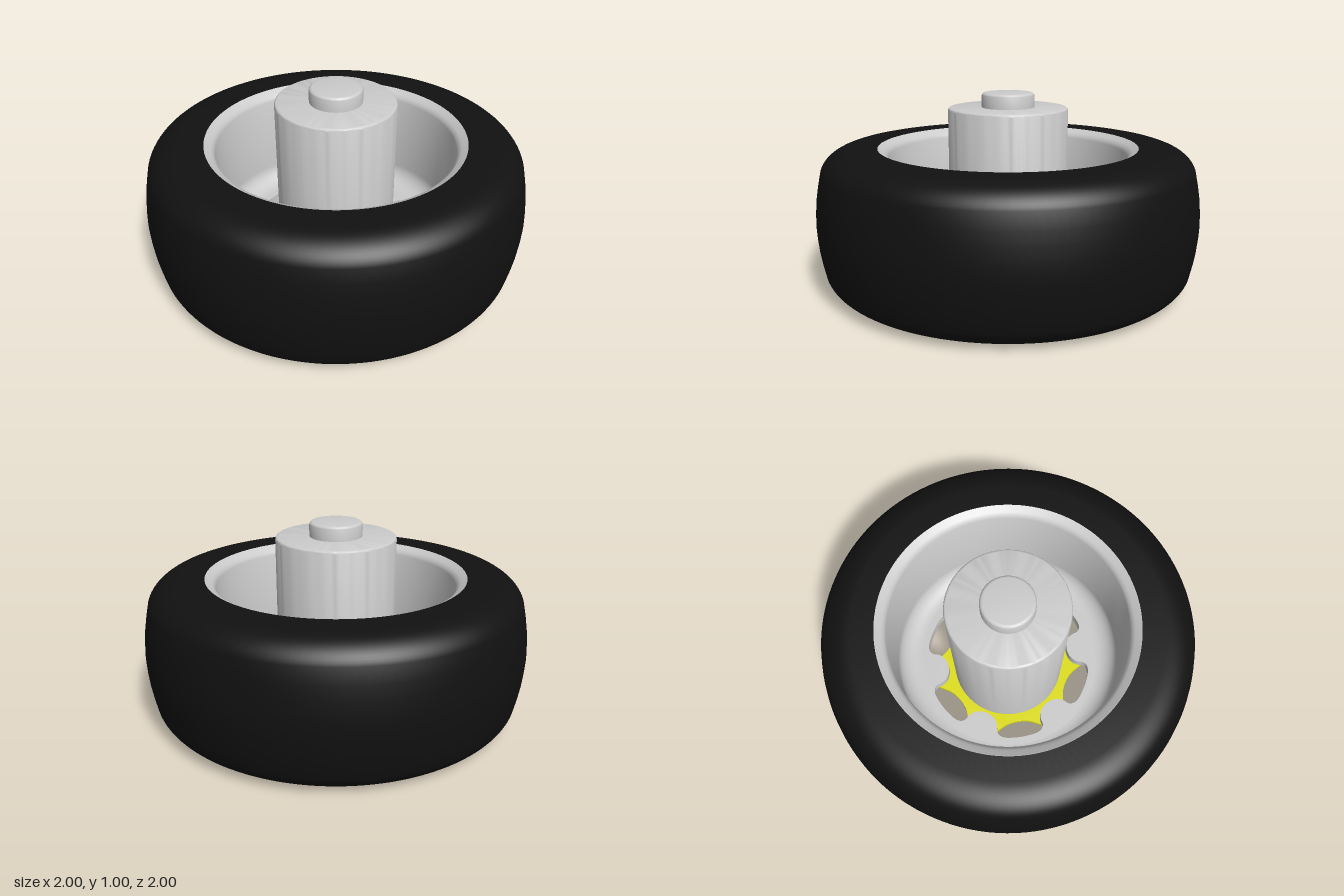
import * as THREE from 'three';
import { toCreasedNormals } from 'three/addons/utils/BufferGeometryUtils.js';

const rad = THREE.MathUtils.degToRad;
const grey = new THREE.MeshStandardMaterial({ color: 0xcccccc });
const rubber = new THREE.MeshStandardMaterial({ color: 0x111111 });
const yellow = new THREE.MeshStandardMaterial({ color: 0xdede10 });

function part(name, geometry, material) {
  const mesh = new THREE.Mesh(geometry, material);
  mesh.name = name;
  return mesh;
}

// Revolve a [radius, y] profile around the vertical axis
function turned(profile, segments = 96) {
  const points = profile.map(([r, y]) => new THREE.Vector2(r, y));
  return toCreasedNormals(new THREE.LatheGeometry(points, segments), 0.6);
}

// Quarter-round profile points around a corner centre
function arc(cr, cy, rx, ry, from, to, steps = 8) {
  return Array.from({ length: steps + 1 }, (_, i) => {
    const a = rad(from + ((to - from) * i) / steps);
    return [cr + rx * Math.cos(a), cy + ry * Math.sin(a)];
  });
}

// Six-fold closed outline from [angle, radius] samples over one half lobe
function sixfold(half, phase) {
  const mirrored = half.slice(1, -1).reverse().map(([a, r]) => [60 - a, r]);
  const points = [];
  for (let k = 0; k < 6; k++) {
    for (const [a, r] of [...half, ...mirrored]) {
      const t = rad(phase + k * 60 + a);
      points.push(new THREE.Vector2(r * Math.cos(t), r * Math.sin(t)));
    }
  }
  return new THREE.SplineCurve([...points, points[0]]).getPoints(360).slice(0, -1);
}

// Extrude a flat shape upward from y
function plate(shape, y, depth) {
  const g = new THREE.ExtrudeGeometry(shape, { depth, bevelEnabled: false, curveSegments: 96 });
  g.rotateX(-Math.PI / 2).translate(0, y, 0);
  return toCreasedNormals(g, 0.6);
}

export function createModel() {
  const model = new THREE.Group();
  const H = 0.725; // tyre width
  const phase = 24.5; // rotation of the windows

  // Tyre: flat sidewalls, rounded shoulders, slightly bulging tread
  const lower = [
    ...arc(0.8, 0.13, 0.17, 0.13, -90, -15, 12),
    [0.98, 0.17], [0.99, 0.23], [0.997, 0.3],
  ];
  const upper = lower.map(([r, y]) => [r, H - y]).reverse();
  model.add(part('tyre', turned(
    [[0.679, 0], ...lower, [1, H / 2], ...upper, [0.679, H], [0.679, 0]], 128), rubber));

  // Rim: barrel with a flared lip at both ends and a filleted inner corner
  const lip = [[0.61, 0.085], [0.619, 0.07], [0.624, 0.05], [0.632, 0.033],
    [0.645, 0.02], [0.662, 0.012], [0.672, 0.004], [0.68, 0]];
  const topLip = lip.slice(2).map(([r, y]) => [r, H - y]).reverse();
  model.add(part('rim', turned([
    [0.52, 0.09], [0.59, 0.09], ...lip, ...topLip,
    ...arc(0.51, 0.25, 0.11, 0.1, 0, -90, 10),
  ], 128), grey));

  // Wheel disc: one opening with six rounded tabs pointing inward
  const disc = new THREE.Shape().absarc(0, 0, 0.525, 0, Math.PI * 2);
  disc.holes.push(new THREE.Path(sixfold([
    [0, 0.47], [7, 0.47], [12, 0.468], [15.5, 0.457], [17.5, 0.435],
    [17.8, 0.41], [19.5, 0.38], [23.5, 0.357], [30, 0.347],
  ], phase)));
  model.add(part('wheelDisc', plate(disc, 0.09, 0.06), grey));

  // Star plate behind the disc, points in line with the tabs
  const star = new THREE.Shape(sixfold([
    [0, 0.358], [8, 0.367], [13, 0.386], [17, 0.412],
    [22, 0.455], [26, 0.486], [30, 0.497],
  ], phase));
  model.add(part('starPlate', plate(star, 0.035, 0.025), yellow));

  // Hub cylinder and its end cap, with small rounded edges
  model.add(part('hub', turned([
    [0, 0.05], [0.312, 0.05], ...arc(0.297, 0.91, 0.015, 0.015, 0, 90, 5), [0, 0.925],
  ]), grey));
  model.add(part('hubCap', turned([
    [0.137, 0.91], ...arc(0.119, 0.982, 0.018, 0.018, 0, 90, 5), [0, 1],
  ], 64), grey));

  return model;
}
